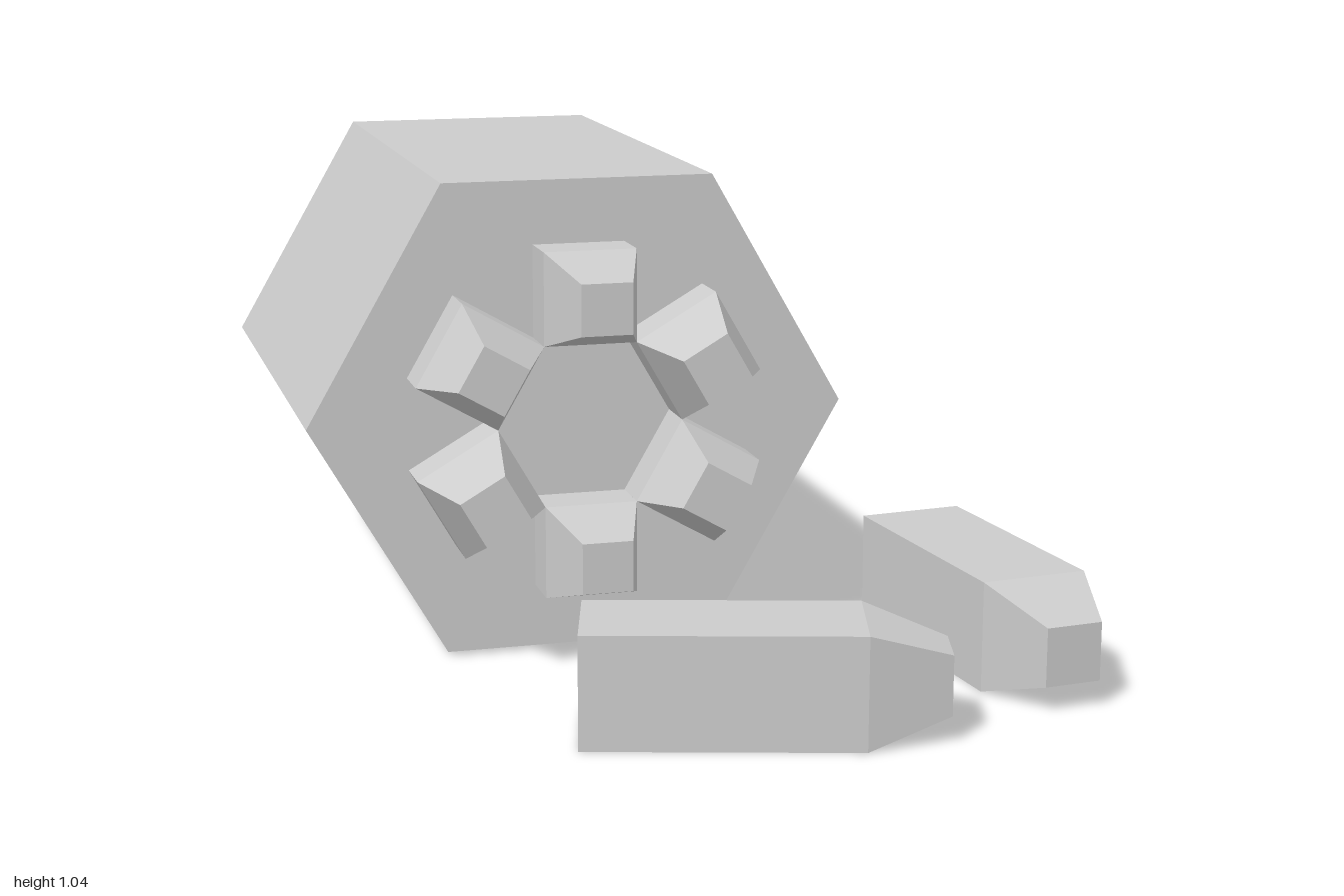
import * as THREE from 'three';

const material = new THREE.MeshStandardMaterial({ color: 0xcccccc, flatShading: true });

// Square stick along +z with a blunt tapered tip, its back end at the origin
function stickGeometry(width, tipWidth, bodyLength, tipLength) {
  const r = width / Math.SQRT2;
  const t = tipWidth / Math.SQRT2;
  const end = bodyLength + tipLength;
  const profile = [[0, 0], [r, 0], [r, bodyLength], [t, end], [0, end]]
    .map(([x, y]) => new THREE.Vector2(x, y));
  return new THREE.LatheGeometry(profile, 4, Math.PI / 4).rotateX(Math.PI / 2);
}

function addMesh(parent, name, geometry) {
  const mesh = new THREE.Mesh(geometry, material);
  mesh.name = name;
  parent.add(mesh);
  return mesh;
}

export function createModel() {
  const model = new THREE.Group();
  model.name = 'hexagonalCaseWithSticks';

  // Hexagonal case lying on one flat side
  const holder = new THREE.Group();
  holder.name = 'filledCase';
  holder.position.set(-0.19, 0.525, 0.19);
  model.add(holder);
  const caseLength = 1.19;
  const hexagon = new THREE.CylinderGeometry(0.595, 0.595, caseLength, 6, 1, false, Math.PI / 2);
  hexagon.rotateX(Math.PI / 2);
  addMesh(holder, 'case', hexagon).position.z = -caseLength / 2;

  // Ring of six stick ends poking out of the front
  const embed = 0.05;
  const endGeometry = stickGeometry(0.202, 0.11, 0.105 + embed, 0.145);
  for (let i = 0; i < 6; i++) {
    const angle = (i * Math.PI) / 3;
    const end = addMesh(holder, 'stickEnd' + (i + 1), endGeometry);
    end.position.set(-0.276 * Math.sin(angle), 0.276 * Math.cos(angle), -embed);
    end.rotation.z = angle;
  }

  // Two loose sticks on the ground
  const looseGeometry = stickGeometry(0.238, 0.126, 0.568, 0.17);
  const loose = [
    ['looseStickFront', -0.323, 0.73, 1.298],
    ['looseStickSide', 0.603, 0.136, 0.107],
  ];
  for (const [name, x, z, yaw] of loose) {
    const stick = addMesh(model, name, looseGeometry);
    stick.position.set(x, 0.12, z);
    stick.rotation.y = yaw;
  }

  return model;
}
